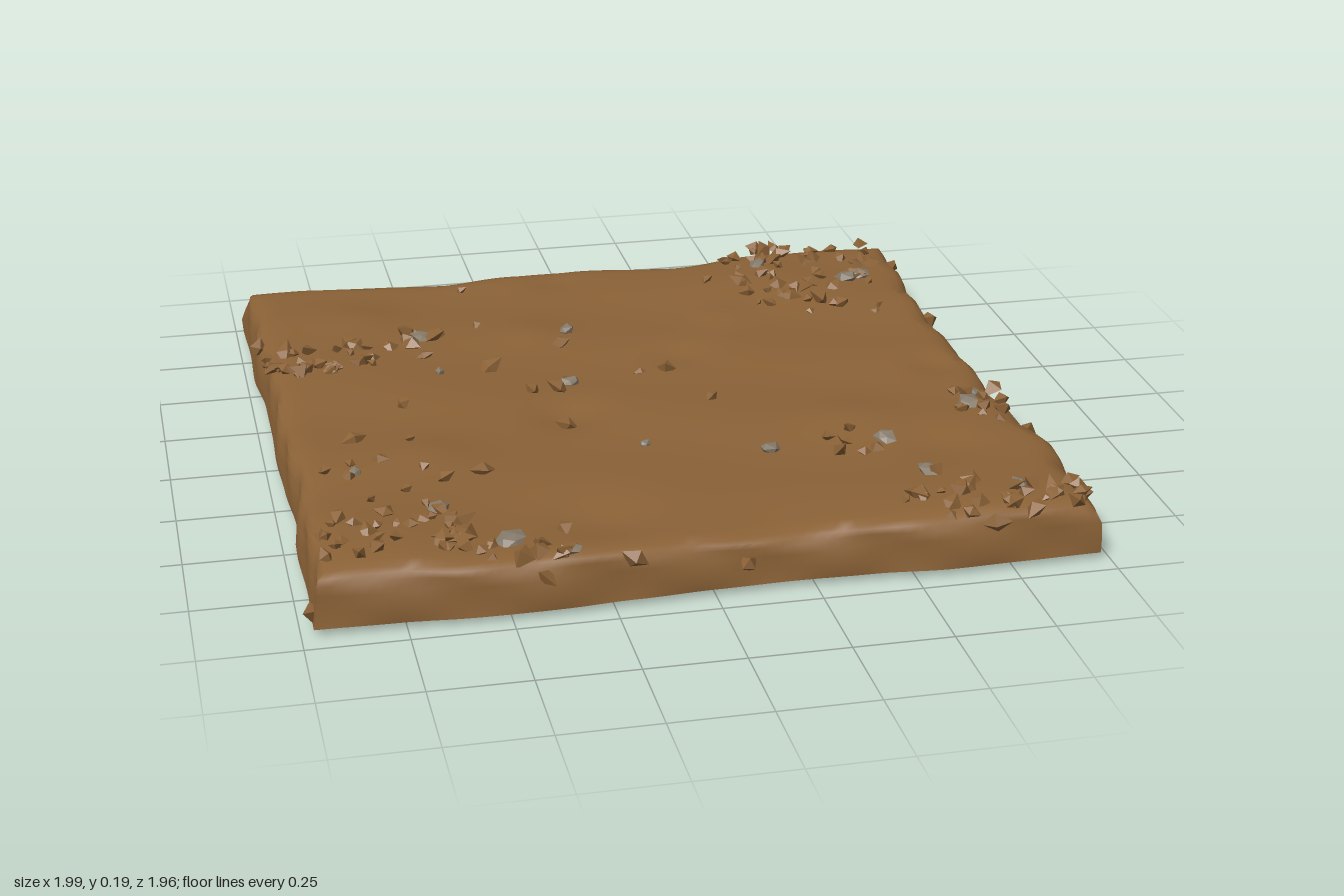
import * as THREE from 'three';
import { mergeGeometries, toCreasedNormals } from 'three/addons/utils/BufferGeometryUtils.js';

// Outline of each side, sampled evenly from -1 to 1
const leftEdge = [-0.98, -0.975, -0.98, -0.965, -0.965, -0.97, -0.965, -0.955, -0.97, -0.965, -0.97];
const rightEdge = [0.975, 0.975, 0.955, 0.945, 0.95, 0.955, 0.95, 0.965, 0.995, 0.98, 0.975];
const backEdge = [-0.955, -0.965, -0.95, -0.94, -0.945, -0.965, -0.955, -0.945, -0.965, -0.965, -0.955];
const frontEdge = [0.94, 0.945, 0.955, 0.955, 0.945, 0.935, 0.93, 0.935, 0.95, 0.945, 0.94];

// Dents and mounds on top: x, z, radius, height
const relief = [
  [-0.2, 0.1, 0.09, -0.02], [0.52, 0.28, 0.12, 0.012], [0.17, -0.22, 0.07, -0.012], [-0.68, -0.65, 0.12, 0.012],
  [-0.75, -0.38, 0.2, 0.015], [-0.75, 0.75, 0.22, 0.012], [0.6, -0.7, 0.2, 0.015], [0.8, 0.8, 0.2, 0.012],
  [0.85, 0, 0.07, -0.015], [-0.25, 0.75, 0.1, -0.012], [-0.07, -0.85, 0.07, -0.01], [0.35, -0.48, 0.08, 0.01],
  [-0.6, 0.3, 0.1, 0.01], [0.7, 0.5, 0.1, -0.012], [-0.2, -0.45, 0.09, 0.01], [0.1, 0.55, 0.2, -0.006],
];

// Crumb clusters: x, z, half width, half depth, count
const clusters = [
  [-0.78, -0.37, 0.2, 0.11, 34], [-0.52, -0.47, 0.06, 0.06, 6], [-0.76, 0.72, 0.19, 0.14, 30],
  [-0.5, 0.86, 0.16, 0.09, 16], [0.58, -0.62, 0.14, 0.11, 20], [0.66, -0.86, 0.24, 0.08, 22],
  [0.82, -0.7, 0.13, 0.12, 9], [0.83, 0.86, 0.13, 0.08, 16], [0.58, 0.86, 0.12, 0.07, 10],
  [0.86, 0.28, 0.09, 0.13, 11], [0.53, 0.45, 0.12, 0.1, 5], [-0.75, 0.3, 0.2, 0.25, 9],
  [0.75, -0.42, 0.15, 0.08, 5], [-0.2, -0.1, 0.08, 0.05, 3], [0, 0, 0.75, 0.85, 18], [0.6, -0.95, 0.04, 0.02, 4],
];

// Exposed stones: x, z, radius
const stones = [
  [0.55, -0.82, 0.035], [0.78, -0.68, 0.04], [0.83, -0.69, 0.035], [-0.11, -0.45, 0.03], [-0.52, -0.48, 0.035],
  [-0.16, -0.1, 0.035], [-0.63, 0.62, 0.035], [-0.48, 0.83, 0.045], [0.26, 0.42, 0.035], [0.56, 0.45, 0.035],
  [0.84, 0.28, 0.035], [0.61, 0.66, 0.035], [0.81, 0.8, 0.035], [-0.5, -0.22, 0.02], [-0.35, 0.91, 0.025],
  [0.88, 0.22, 0.025], [-0.05, 0.34, 0.02], [-0.8, 0.38, 0.025],
];

function sample(list, t) {
  const f = THREE.MathUtils.clamp((t + 1) * 5, 0, 9.999), i = Math.floor(f);
  return THREE.MathUtils.lerp(list[i], list[i + 1], THREE.MathUtils.smoothstep(f - i, 0, 1));
}

function topHeight(x, z) {
  let y = 0.145 + 0.004 * Math.sin(x * 9 + z * 4) + 0.003 * Math.sin(z * 13 - x * 5) + 0.008 * x * x;
  for (const [cx, cz, r, h] of relief) y += h * Math.exp(-((x - cx) ** 2 + (z - cz) ** 2) / (r * r));
  return y;
}

function bottomHeight(x, z) {
  const bump = (cx, cz) => 0.018 * Math.exp(-((x - cx) ** 2 + (z - cz) ** 2) / 0.03);
  return 0.022 - bump(-0.5, 0.7) - bump(0.7, -0.55);
}

function makeRandom(seed) {
  return () => {
    seed = (seed * 16807) % 2147483647;
    return seed / 2147483647;
  };
}

// Slab with wavy sides and a rounded top rim
function slabGeometry() {
  const geo = new THREE.BoxGeometry(2, 1, 2, 64, 5, 64);
  const p = geo.attributes.position;
  const levels = [0, 0.3, 0.62, 0.82, 0.94, 1], insets = [0, 0.002, 0.008, 0.014, 0.022, 0.036];
  for (let i = 0; i < p.count; i++) {
    const u = p.getX(i), w = p.getZ(i), k = Math.round((p.getY(i) + 0.5) * 5);
    const rim = Math.max(Math.abs(u), Math.abs(w));
    const ripple = 0.006 * Math.sin(k * 1.3 + u * 17 + w * 23) * (k > 0 ? 1 : 0);
    const inset = insets[k] + ripple;
    const x = THREE.MathUtils.lerp(sample(leftEdge, w) + inset, sample(rightEdge, w) - inset, (u + 1) / 2);
    const z = THREE.MathUtils.lerp(sample(backEdge, u) + inset, sample(frontEdge, u) - inset, (w + 1) / 2);
    const top = topHeight(x, z) - 0.006 * THREE.MathUtils.smoothstep(rim, 0.96, 1);
    p.setXYZ(i, x, THREE.MathUtils.lerp(bottomHeight(x, z), top, levels[k]), z);
  }
  geo.deleteAttribute('uv');
  return toCreasedNormals(geo, 1.15);
}

// Irregular faceted lump; equal corners get equal offsets so it stays closed
function lump(rand, x, y, z, sx, sy, sz, tilt, detailed) {
  const geo = detailed ? new THREE.IcosahedronGeometry(1, 0) : new THREE.OctahedronGeometry(1, 0);
  const p = geo.attributes.position, v = new THREE.Vector3(), seed = rand() * 50;
  for (let i = 0; i < p.count; i++) {
    v.fromBufferAttribute(p, i);
    v.multiplyScalar(0.9 + 0.28 * Math.sin(seed + v.x * 7 + v.y * 11 + v.z * 17));
    p.setXYZ(i, v.x, v.y, v.z);
  }
  geo.scale(sx, sy, sz);
  geo.rotateX((rand() - 0.5) * tilt).rotateZ((rand() - 0.5) * tilt).rotateY(rand() * 6.28);
  geo.translate(x, y, z);
  geo.deleteAttribute('uv');
  geo.computeVertexNormals();
  return geo;
}

export function createModel() {
  const group = new THREE.Group();
  const soil = new THREE.MeshStandardMaterial({ name: 'brown soil', color: 0x8b6237 });
  const stone = new THREE.MeshStandardMaterial({ name: 'grey stone', color: 0x857a6a });
  const add = (name, geo, mat) => {
    const mesh = new THREE.Mesh(geo, mat);
    mesh.name = name;
    group.add(mesh);
  };
  add('groundSlab', slabGeometry(), soil);

  // Loose crumbs gathered in clusters
  const rand = makeRandom(4217), crumbs = [];
  for (const [cx, cz, rx, rz, count] of clusters) {
    for (let i = 0; i < count; i++) {
      const x = THREE.MathUtils.clamp(cx + (rand() * 2 - 1) * rx, -0.95, 0.94);
      const z = THREE.MathUtils.clamp(cz + (rand() * 2 - 1) * rz, -0.965, 0.94);
      const s = 0.018 + rand() * 0.022;
      crumbs.push(lump(rand, x, topHeight(x, z) + 0.006, z, s, s * 0.6, s * 0.8, 1.6, false));
    }
  }
  // Crumbs clinging to the front and right walls
  for (const [x, y, z] of [[-0.42, 0.1, 0.94], [-0.2, 0.13, 0.94], [0.08, 0.08, 0.93], [0.7, 0.13, 0.94],
    [-0.97, 0.05, 0.9], [-0.97, 0.14, -0.52], [0.95, 0.12, -0.4], [0.96, 0.13, 0.42], [0.97, 0.12, 0.8], [0.96, 0.13, -0.8]]) {
    crumbs.push(lump(rand, x, y, z, 0.035, 0.03, 0.025, 1.5, false));
  }
  add('soilCrumbs', mergeGeometries(crumbs), soil);

  // Half-buried stones
  add('stones', mergeGeometries(stones.map(([x, z, r]) =>
    lump(rand, x, topHeight(x, z) + 0.004, z, r, r * 0.5, r * 0.8, 0.6, true))), stone);
  return group;
}
